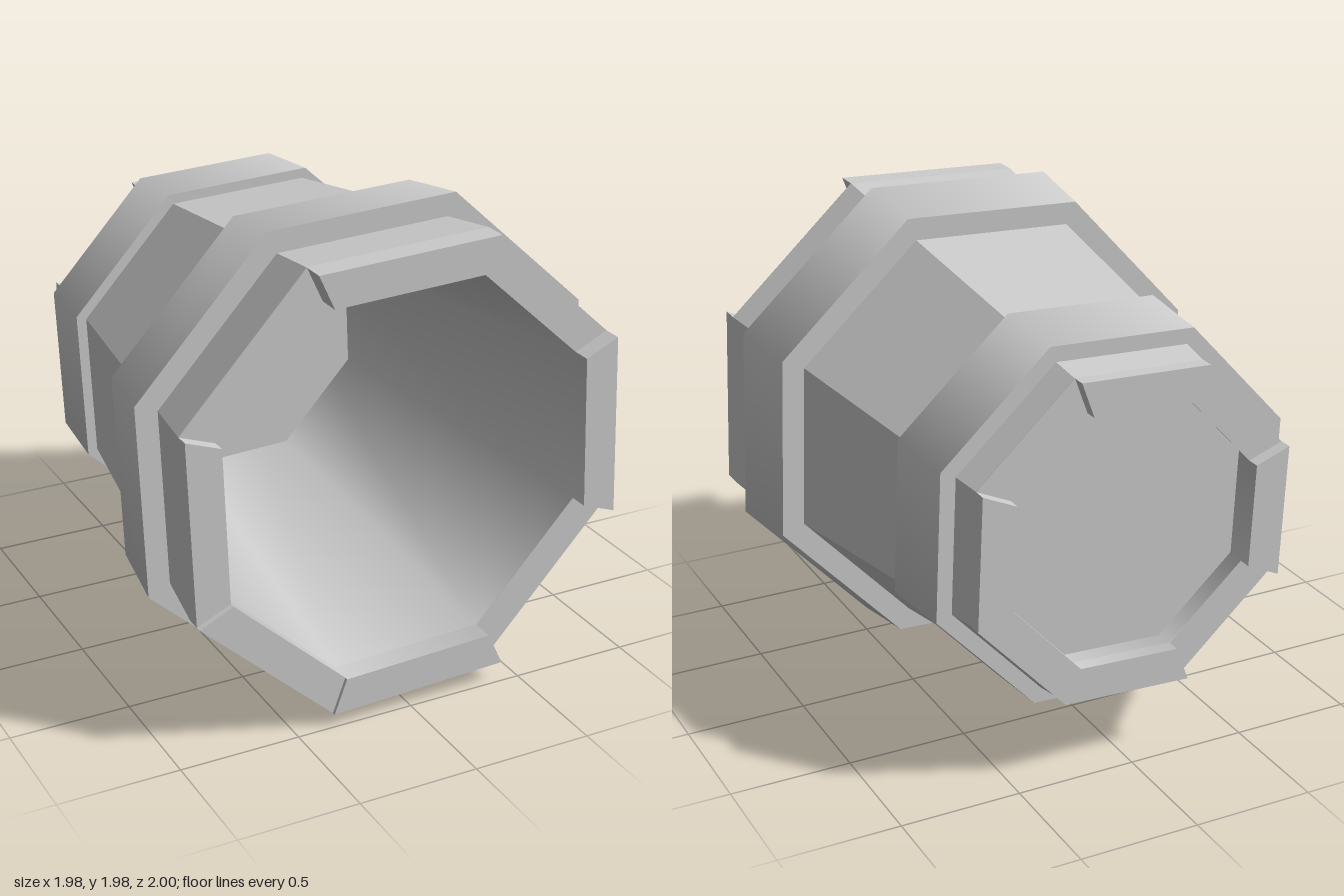
import * as THREE from 'three';

const STEP = Math.PI / 4;
const START = THREE.MathUtils.degToRad(-20.1); // twist of the octagon
const CENTRE_Y = 0.993;

const material = new THREE.MeshStandardMaterial({ color: 0xcccccc, roughness: 0.9 });

// Sweeps a closed [z, radius] profile (outside back to front, then inside
// front to back) across each listed facet of the octagon.
function sweep(name, profile, facets, { smooth = [], caps = false } = {}) {
  const pos = [], nor = [];
  const n = profile.length;
  const point = (a, [z, r]) => new THREE.Vector3(r * Math.cos(a), r * Math.sin(a), z);
  const quad = (p, normals) => {
    const flat = p[1].clone().sub(p[0]).cross(p[2].clone().sub(p[0]));
    if (flat.lengthSq() < 1e-14) flat.crossVectors(p[2].clone().sub(p[0]), p[3].clone().sub(p[0]));
    flat.normalize();
    for (const i of [0, 1, 2, 0, 2, 3]) {
      pos.push(...p[i].toArray());
      nor.push(...(normals ? normals[i] : flat).toArray());
    }
  };
  for (const k of facets) {
    const a0 = START + k * STEP, a1 = a0 + STEP;
    for (let i = 0; i < n; i++) {
      const P = profile[i], Q = profile[(i + 1) % n];
      const dz = Q[0] - P[0], dr = Q[1] - P[1];
      const rounded = (a) => new THREE.Vector3(dz * Math.cos(a), dz * Math.sin(a), -dr).normalize();
      const N0 = rounded(a0), N1 = rounded(a1);
      quad([point(a0, P), point(a1, P), point(a1, Q), point(a0, Q)],
        smooth.includes(i) ? [N0, N1, N1, N0] : null);
    }
    // side faces of a single stave
    if (caps) for (let i = 0; i < n / 2 - 1; i++) {
      const c = [i, i + 1, n - 2 - i, n - 1 - i].map((j) => profile[j]);
      quad(c.map((p) => point(a0, p)));
      quad(c.reverse().map((p) => point(a1, p)));
    }
  }
  const geometry = new THREE.BufferGeometry();
  geometry.setAttribute('position', new THREE.Float32BufferAttribute(pos, 3));
  geometry.setAttribute('normal', new THREE.Float32BufferAttribute(nor, 3));
  const mesh = new THREE.Mesh(geometry, material);
  mesh.name = name;
  return mesh;
}

export function createModel() {
  const bucket = new THREE.Group();
  bucket.name = 'bucket';
  bucket.position.y = CENTRE_Y;
  const all = [0, 1, 2, 3, 4, 5, 6, 7];

  // Staves of uneven length: [front end, back end], anticlockwise from +x
  const ends = [
    [0.985, -1], [0.905, -0.945], [1, -1], [0.905, -0.945],
    [0.96, -1], [0.985, -0.945], [1, -1], [0.905, -1],
  ];
  const staves = new THREE.Group();
  staves.name = 'staves';
  ends.forEach(([front, back], k) => {
    const profile = [
      [back, 0.715], [-0.94, 0.715], [0.9, 0.995], [front, 0.995],
      [front, 0.84], [0.9, 0.84], [-0.94, 0.56], [back, 0.56],
    ];
    staves.add(sweep('stave', profile, [k], { smooth: [4, 5, 6], caps: true }));
  });
  bucket.add(staves);

  // Hoops around the wide and narrow ends
  bucket.add(sweep('frontHoop',
    [[0.3, 1.005], [0.63, 1.053], [0.63, 0.93], [0.3, 0.88]], all, { smooth: [0] }));
  bucket.add(sweep('backHoop',
    [[-0.81, 0.803], [-0.48, 0.83], [-0.48, 0.76], [-0.81, 0.71]], all, { smooth: [0] }));

  // Bottom board, set in from the narrow end
  bucket.add(sweep('bottomBoard',
    [[-0.85, 0.65], [-0.61, 0.65], [-0.61, 0], [-0.85, 0]], all));

  const model = new THREE.Group();
  model.name = 'woodenBucket';
  model.add(bucket);
  return model;
}
